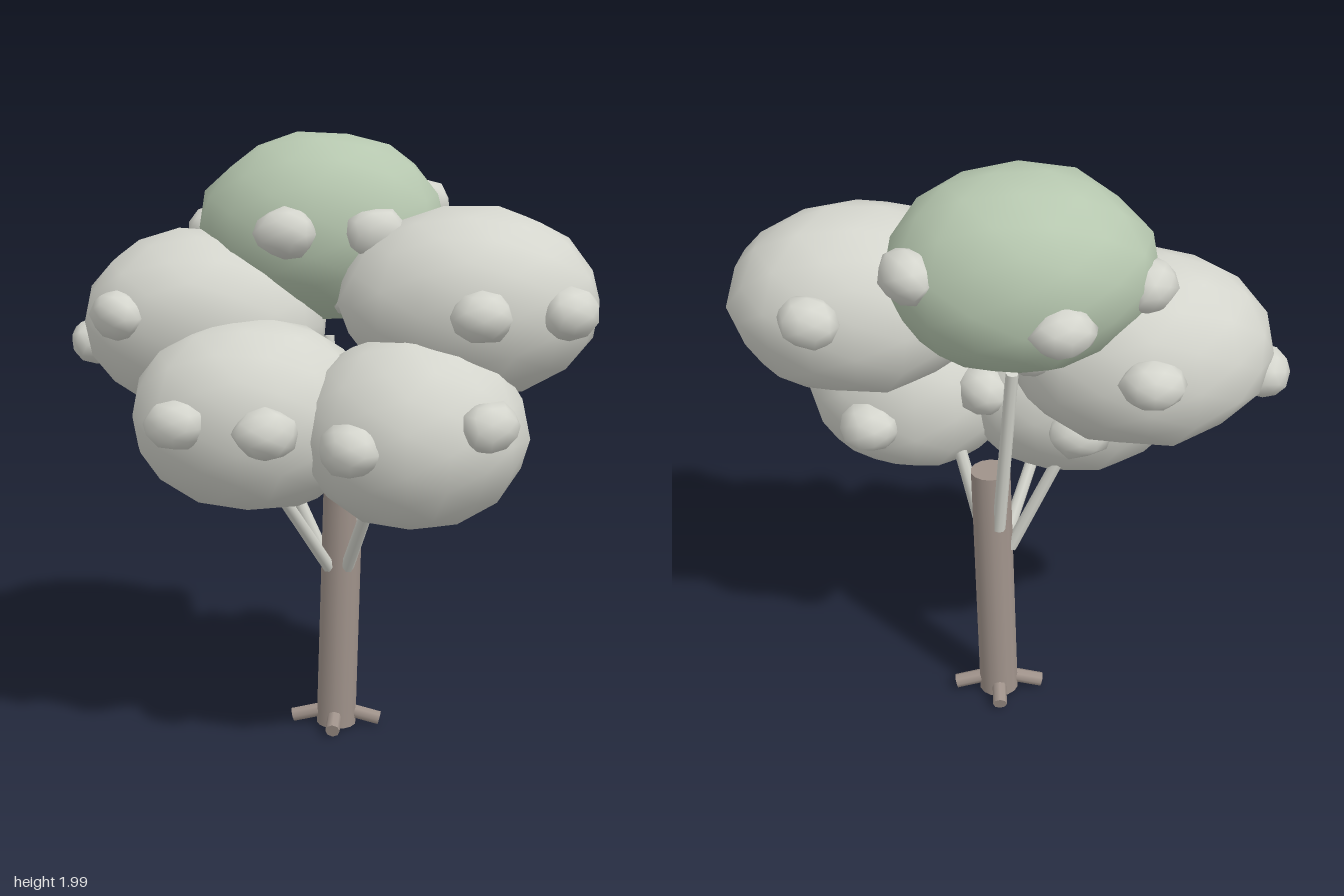
import * as THREE from 'three';
import { mergeVertices } from 'three/addons/utils/BufferGeometryUtils.js';

const mat = (name, color) => {
  const m = new THREE.MeshStandardMaterial({ color });
  m.name = name;
  return m;
};

// small seeded random
let seed = 7;
const rand = () => {
  seed = (seed * 16807) % 2147483647;
  return seed / 2147483647;
};

// lumpy smooth-shaded ellipsoid
function lump(radii, detail, jitter) {
  let geo = new THREE.IcosahedronGeometry(1, detail);
  geo.deleteAttribute('uv');
  geo.deleteAttribute('normal');
  geo = mergeVertices(geo, 1e-3);
  const p = geo.attributes.position;
  for (let i = 0; i < p.count; i++) {
    const k = 1 + (rand() - 0.5) * jitter;
    p.setXYZ(i, p.getX(i) * k, p.getY(i) * k, p.getZ(i) * k);
  }
  geo.scale(...radii);
  geo.computeVertexNormals();
  return geo;
}

// straight round rod between two points
function rod(name, a, b, rTop, rBottom, sides, material) {
  const from = new THREE.Vector3(...a), to = new THREE.Vector3(...b);
  const dir = to.clone().sub(from);
  const mesh = new THREE.Mesh(new THREE.CylinderGeometry(rTop, rBottom, dir.length(), sides), material);
  mesh.position.copy(from).add(to).multiplyScalar(0.5);
  mesh.quaternion.setFromUnitVectors(new THREE.Vector3(0, 1, 0), dir.normalize());
  mesh.name = name;
  return mesh;
}

export function createModel() {
  seed = 7;
  const tree = new THREE.Group();
  tree.name = 'tree';
  const bark = mat('bark brown', 0xa0938b);
  const pale = mat('pale grey', 0xd4d5cd);
  const green = mat('sage green', 0xb6c7af);

  // trunk, leaning slightly
  tree.add(rod('trunk', [0, 0.01, -0.09], [0.025, 0.895, -0.078], 0.066, 0.067, 14, bark));

  // four short roots
  for (let i = 0; i < 4; i++) {
    const a = (i * Math.PI) / 2, c = Math.cos(a), s = Math.sin(a);
    tree.add(rod('root', [c * 0.02, 0.06, -0.09 + s * 0.02],
      [c * 0.148, 0.028, -0.09 + s * 0.13], 0.024, 0.024, 8, bark));
  }

  // branches from the trunk into the crown
  [
    [[-0.02, 0.58, -0.04], [-0.17, 0.92, 0.2]],
    [[0.04, 0.58, -0.04], [0.15, 0.92, 0.2]],
    [[0.05, 0.66, -0.07], [0.2, 1.25, 0]],
    [[-0.04, 0.6, -0.09], [-0.22, 1.0, -0.1]],
    [[0, 0.7, -0.13], [-0.04, 1.33, -0.215]],
  ].forEach(([a, b]) => tree.add(rod('branch', a, b, 0.02, 0.022, 8, pale)));

  // foliage clumps; knobs are [angle around in degrees, height offset]
  const clumps = [
    { name: 'topFoliage', at: [-0.06, 1.69, -0.23], r: [0.41, 0.31, 0.33], m: green,
      knobs: [[103, 0.01], [60, 0.01], [-32, 0.06], [-107, -0.06], [-165, -0.02]] },
    { name: 'upperLeftFoliage', at: [0.43, 1.485, 0.02], r: [0.415, 0.3, 0.33], m: pale,
      knobs: [[84, 0], [40, 0], [-70, 0.06], [-160, 0.01]] },
    { name: 'upperRightFoliage', at: [-0.44, 1.385, -0.15], r: [0.41, 0.305, 0.335], m: pale,
      knobs: [[128, 0.05], [-90, 0.04], [-175, -0.08], [-25, 0.06]] },
    { name: 'lowerRightFoliage', at: [-0.25, 1.13, 0.12], r: [0.39, 0.31, 0.33], m: pale,
      knobs: [[122, 0.02], [77, 0.01], [-90, -0.03], [-35, 0.06]] },
    { name: 'lowerLeftFoliage', at: [0.265, 1.105, 0.2], r: [0.36, 0.308, 0.34], m: pale,
      knobs: [[120, 0], [45, 0.07], [-65, -0.03]] },
  ];
  for (const { name, at, r, m, knobs } of clumps) {
    const clump = new THREE.Group();
    clump.name = name;
    clump.position.set(...at);
    const body = new THREE.Mesh(lump(r, 2, 0.05), m);
    body.name = name + 'Body';
    clump.add(body);
    for (const [deg, dy] of knobs) {
      const a = THREE.MathUtils.degToRad(deg);
      const k = 0.96 * Math.sqrt(1 - (dy / r[1]) ** 2);
      const knob = new THREE.Mesh(lump([0.1, 0.08, 0.08], 1, 0.16), pale);
      knob.name = 'foliageKnob';
      knob.position.set(r[0] * k * Math.cos(a), dy, r[2] * k * Math.sin(a));
      knob.rotation.y = Math.PI / 2 - a; // long side along the surface
      clump.add(knob);
    }
    tree.add(clump);
  }
  return tree;
}
